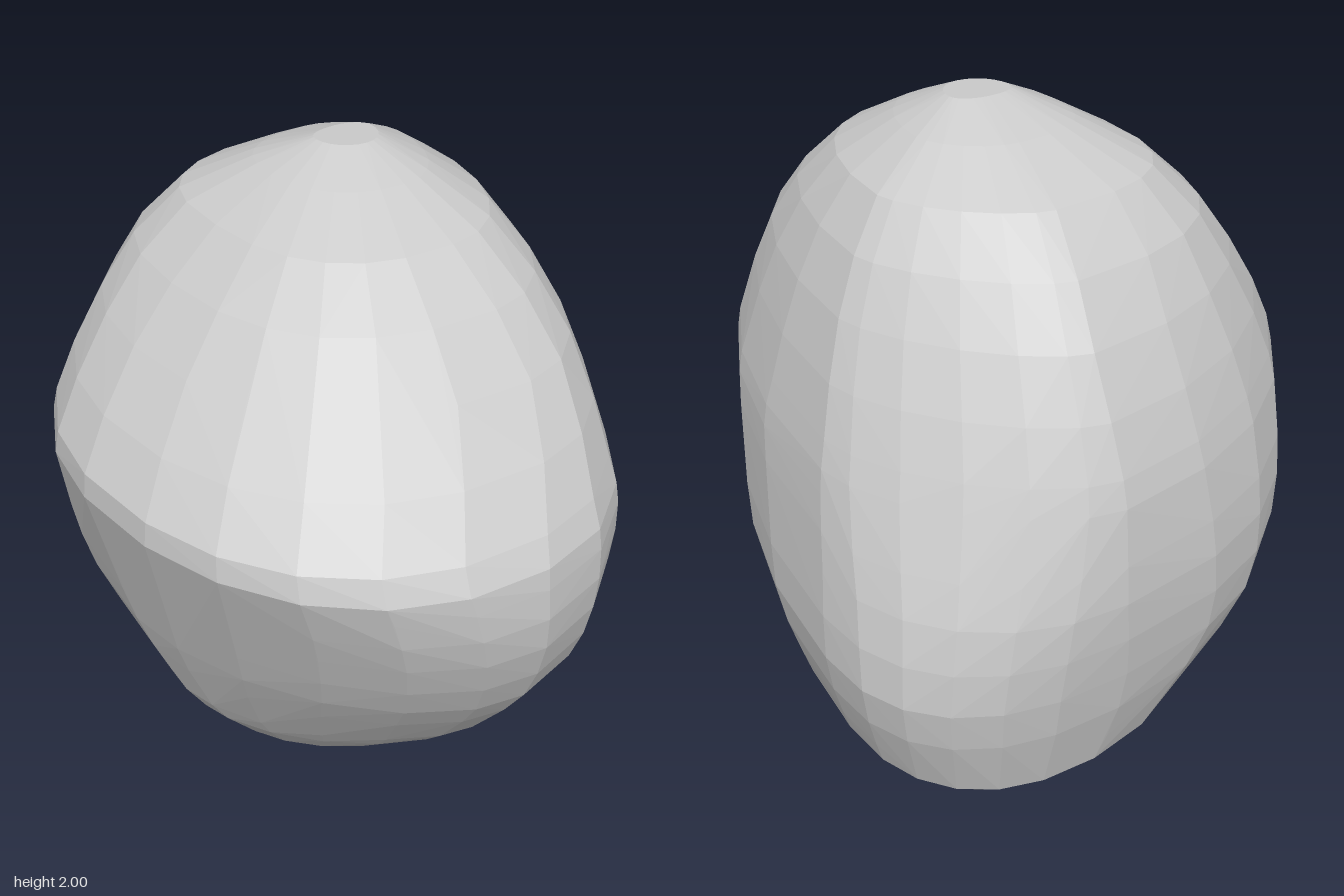
import * as THREE from 'three';
import { ConvexGeometry } from 'three/addons/geometries/ConvexGeometry.js';

// Horizontal sections of the boulder, bottom to top:
// height, -x extreme (x, z), +x extreme (x, z), back (x, z), front (x, z),
// then the shape of the corners: -x front, +x front, +x back, -x back
// (1 = elliptic, above 1 = cut off, below 1 = fuller).
const SECTIONS = [
  [0.0, -0.13, -0.05, -0.05, -0.05, -0.1, -0.1, -0.09, -0.01, 1, 1, 1, 1],
  [0.06, -0.22, -0.07, 0.16, -0.06, -0.1, -0.33, -0.06, 0.22, 1.05, 1.15, 1, 1],
  [0.32, -0.72, -0.2, 0.48, -0.08, -0.3, -0.62, -0.05, 0.46, 1.05, 1.35, 0.93, 0.85],
  [0.5, -0.82, -0.18, 0.62, -0.06, -0.36, -0.705, -0.08, 0.55, 0.95, 1.28, 0.94, 0.83],
  [0.75, -0.87, -0.17, 0.785, -0.03, -0.4, -0.76, -0.08, 0.64, 0.77, 1.18, 0.95, 0.82],
  [1.0, -0.89, -0.2, 0.87, 0, -0.38, -0.74, -0.08, 0.7, 0.82, 1.07, 0.96, 0.97],
  [1.2, -0.87, -0.2, 0.875, 0.02, -0.34, -0.71, -0.05, 0.745, 0.93, 0.95, 0.92, 1.2],
  [1.33, -0.845, -0.2, 0.83, 0, -0.32, -0.68, -0.03, 0.76, 1, 0.88, 0.95, 1.3],
  [1.6, -0.72, -0.2, 0.61, -0.12, -0.26, -0.59, -0.09, 0.56, 0.9, 0.87, 0.97, 1.42],
  [1.85, -0.5, -0.15, 0.33, -0.1, -0.2, -0.44, -0.1, 0.3, 0.7, 0.8, 0.95, 1.35],
  [2.0, -0.14, -0.09, 0, -0.09, -0.09, -0.17, -0.09, 0, 0.8, 1, 1, 1],
];

const STEPS = 6; // spans along each quarter of a section

// Section halfway between two neighbours, on a smooth curve through all of them
function between(i) {
  const at = (k) => SECTIONS[THREE.MathUtils.clamp(k, 0, SECTIONS.length - 1)];
  return at(i).map((v, j) => (9 * (v + at(i + 1)[j]) - at(i - 1)[j] - at(i + 2)[j]) / 16);
}

// Quarter curve from a side extreme to a front or back extreme
function quarter(sideX, sideZ, endX, endZ, power, y, points) {
  for (let i = 0; i <= STEPS; i++) {
    const t = (i / STEPS) * Math.PI / 2;
    const c = Math.pow(Math.max(0, Math.cos(t)), power);
    const s = Math.pow(Math.sin(t), power);
    points.push(new THREE.Vector3(
      endX + (sideX - endX) * c,
      y,
      sideZ + (endZ - sideZ) * s
    ));
  }
}

function addSection([y, ax, az, bx, bz, backX, backZ, frontX, frontZ, p0, p1, p2, p3], points) {
  quarter(ax, az, frontX, frontZ, p0, y, points);
  quarter(bx, bz, frontX, frontZ, p1, y, points);
  quarter(bx, bz, backX, backZ, p2, y, points);
  quarter(ax, az, backX, backZ, p3, y, points);
}

export function createModel() {
  const points = [];
  SECTIONS.forEach((section, i) => {
    addSection(section, points);
    if (i < SECTIONS.length - 1) addSection(between(i), points);
  });

  // Faceted convex skin around all the sections
  const boulder = new THREE.Mesh(
    new ConvexGeometry(points),
    new THREE.MeshStandardMaterial({ color: 0xcccccc, flatShading: true })
  );
  boulder.name = 'boulder';

  const group = new THREE.Group();
  group.name = 'rock';
  group.add(boulder);
  return group;
}
